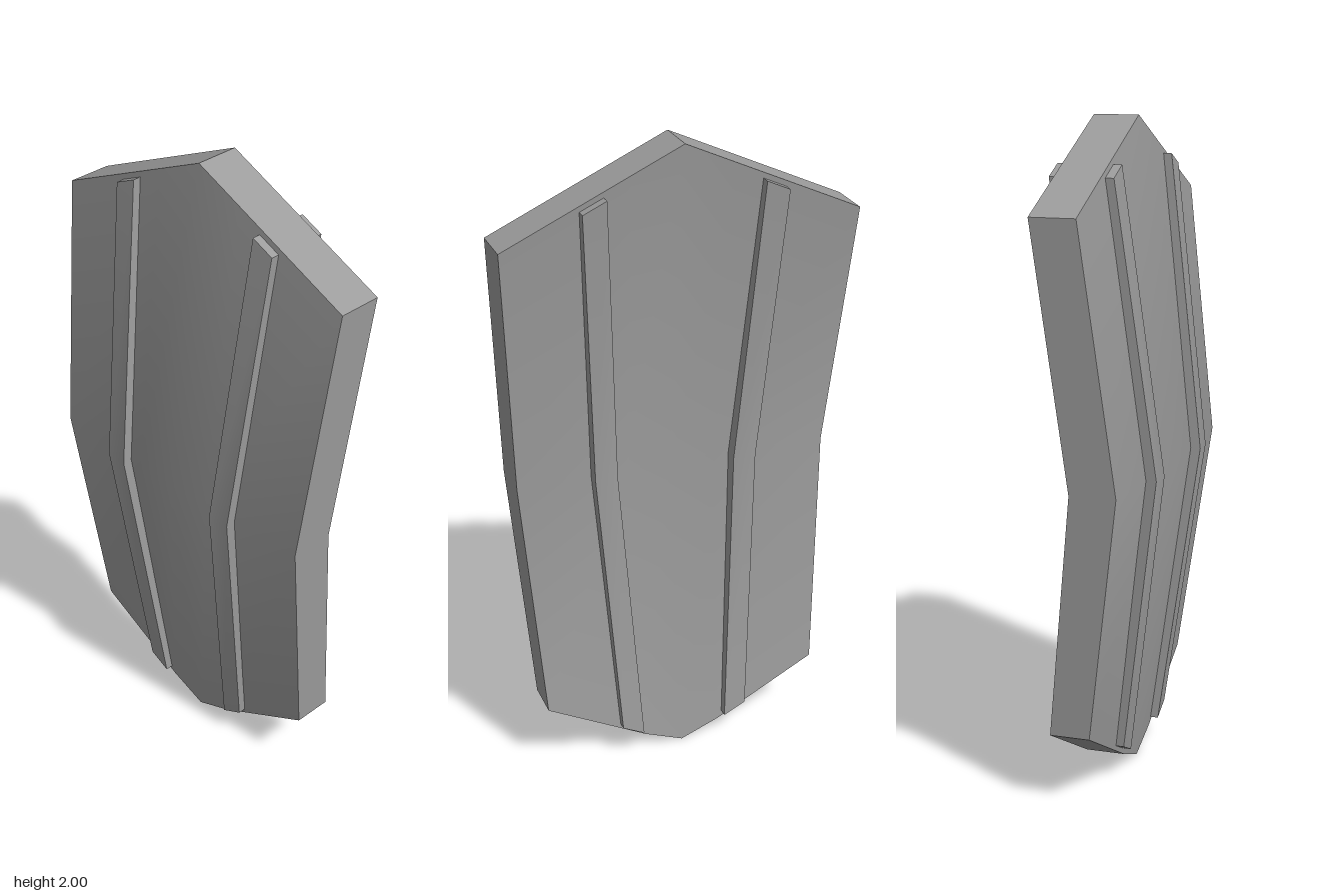
import * as THREE from 'three';
import { toCreasedNormals } from 'three/addons/utils/BufferGeometryUtils.js';

// Solid slab from rows (top to bottom) of points [x, y, frontZ, backZ], x ascending
function slab(rows) {
  const pos = [];
  const F = p => [p[0], p[1], p[2]];
  const B = p => [p[0], p[1], p[3]];
  const quad = (a, b, c, d) => pos.push(...a, ...b, ...c, ...a, ...c, ...d);
  const last = rows.length - 1;
  for (let i = 0; i < last; i++) {
    for (let j = 0; j < rows[i].length - 1; j++) {
      const a = rows[i][j], b = rows[i][j + 1], c = rows[i + 1][j], d = rows[i + 1][j + 1];
      quad(F(c), F(d), F(b), F(a));
      quad(B(a), B(b), B(d), B(c));
    }
  }
  // rim, counter-clockwise seen from the front
  const inner = rows.slice(1, last);
  const rim = [
    ...rows[last],
    ...inner.map(r => r[r.length - 1]).reverse(),
    ...[...rows[0]].reverse(),
    ...inner.map(r => r[0]),
  ];
  rim.forEach((p, i) => {
    const q = rim[(i + 1) % rim.length];
    quad(F(p), B(p), B(q), F(q));
  });
  const geo = new THREE.BufferGeometry();
  geo.setAttribute('position', new THREE.Float32BufferAttribute(pos, 3));
  // gentle bends stay smooth, outer edges stay sharp
  return toCreasedNormals(geo, 0.6);
}

const mirrorX = row => row.map(([x, ...rest]) => [-x, ...rest]).reverse();

export function createModel() {
  const group = new THREE.Group();
  const material = new THREE.MeshStandardMaterial({ color: 0x9c9c9c });
  const add = (name, rows) => {
    const mesh = new THREE.Mesh(slab(rows), material);
    mesh.name = name;
    group.add(mesh);
  };

  // Plate: right half of each row, bent forward at mid height with a shallow central ridge
  const half = [
    [0, 0.29, 1].map(f => [0.545 * f, 2 - 0.25 * f, 0.012, -0.127]),
    [0, 0.29, 1].map(f => [0.494 * f, 0.965, 0.132 - 0.026 * f, -0.01 - 0.025 * f]),
    [[0, 0], [0.125, 0.05], [0.445, 0.22]].map(([x, y]) => [x, y, 0.005, -0.117]),
  ];
  add('plate', half.map(row => [...mirrorX(row.slice(1)), ...row]));

  // Slanted ribs standing proud of both faces
  const rib = [
    [[0.238, 1.873, 0.04, -0.154], [0.31, 1.84, 0.04, -0.154]],
    [[0.188, 0.965, 0.153, -0.064], [0.259, 0.965, 0.15, -0.066]],
    [[0.138, 0.075, 0.032, -0.143], [0.208, 0.11, 0.032, -0.143]],
  ];
  add('leftRib', rib);
  add('rightRib', rib.map(mirrorX));

  return group;
}
